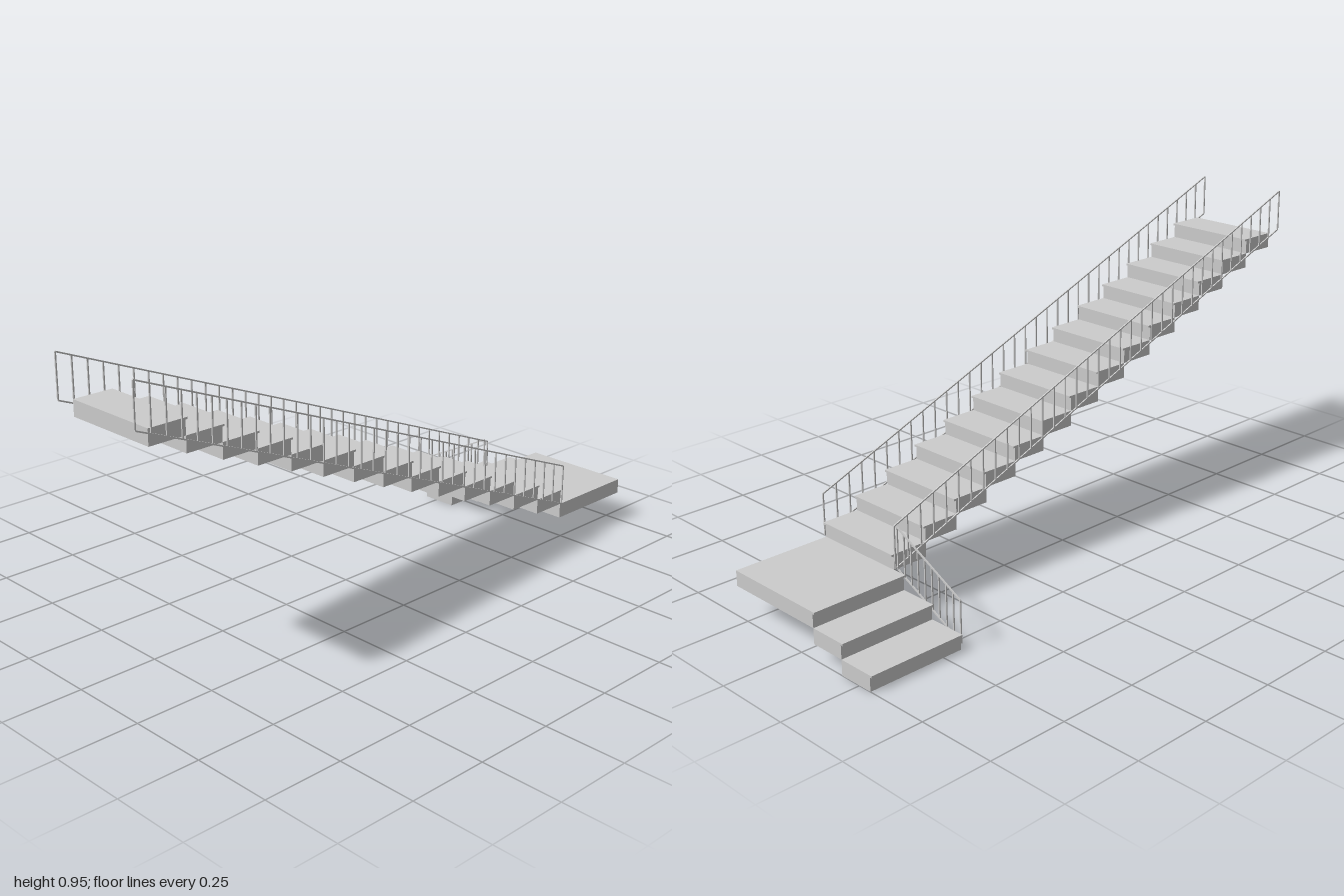
import * as THREE from 'three';

const RISE = 0.0479, GOING = 0.1173, NOSE = 0.007, LIP = 0.006, BAR = 0.004;
const X0 = -0.02, X1 = 0.291;          // main flight width
const Z0 = -0.687, ZB = -1;            // landing front and back

export function createModel() {
  const model = new THREE.Group();
  const mat = new THREE.MeshStandardMaterial({ color: 0xcccccc, flatShading: true });

  // box given by its min and max corners
  const block = (parent, name, a, b) => {
    const m = new THREE.Mesh(new THREE.BoxGeometry(b[0] - a[0], b[1] - a[1], b[2] - a[2]), mat);
    m.position.set((a[0] + b[0]) / 2, (a[1] + b[1]) / 2, (a[2] + b[2]) / 2);
    m.name = name;
    parent.add(m);
  };

  // step body with a thin tread that overhangs the leading edge
  const step = (parent, name, a, b, noseX, noseZ) => {
    const g = new THREE.Group();
    g.name = name;
    block(g, 'riserBlock', a, [b[0], b[1] - LIP, b[2]]);
    block(g, 'tread', [a[0] - noseX, b[1] - LIP, a[2] - noseZ], b);
    parent.add(g);
  };

  // lower steps and landing, climbing towards +x
  const lower = new THREE.Group();
  lower.name = 'lowerFlight';
  for (let i = 0; i < 3; i++) {
    const x = -0.295 + i * GOING;
    const end = i === 2 ? X1 : x + GOING;
    step(lower, i === 2 ? 'landing' : 'lowerStep',
      [x, i * RISE, ZB], [end, (i + 1) * RISE, Z0], NOSE, 0);
  }
  model.add(lower);

  // main flight, climbing towards +z
  const main = new THREE.Group();
  main.name = 'mainFlight';
  for (let i = 0; i < 14; i++) {
    const z = Z0 + i * GOING, y = (i + 3) * RISE;
    step(main, 'mainStep', [X0, y, z], [X1, y + RISE, z + GOING], 0, NOSE);
  }
  model.add(main);

  // railing: two sloping rails joined by upright bars
  const railing = (name, from, to, height, count) => {
    const g = new THREE.Group();
    g.name = name;
    const a = new THREE.Vector3(...from), b = new THREE.Vector3(...to);
    const up = new THREE.Vector3(0, height, 0);
    for (const [label, lift] of [['bottomRail', 0], ['handrail', 1]]) {
      const rail = new THREE.Mesh(new THREE.BoxGeometry(BAR, BAR, a.distanceTo(b)), mat);
      rail.position.copy(a).lerp(b, 0.5).addScaledVector(up, lift);
      rail.lookAt(b.clone().addScaledVector(up, lift));
      rail.name = label;
      g.add(rail);
    }
    for (let i = 0; i <= count; i++) {
      const bar = new THREE.Mesh(new THREE.BoxGeometry(BAR, height, BAR), mat);
      bar.position.copy(a).lerp(b, i / count).addScaledVector(up, 0.5);
      bar.name = 'baluster';
      g.add(bar);
    }
    model.add(g);
  };
  railing('leftRailing', [0.2975, 0.148, -0.685], [0.2975, 0.82, 0.998], 0.13, 35);
  railing('rightRailing', [-0.0235, 0.148, -0.685], [-0.0235, 0.82, 0.998], 0.13, 35);
  railing('lowerRailing', [-0.294, 0.018, -0.685], [-0.036, 0.15, -0.685], 0.13, 9);

  return model;
}
